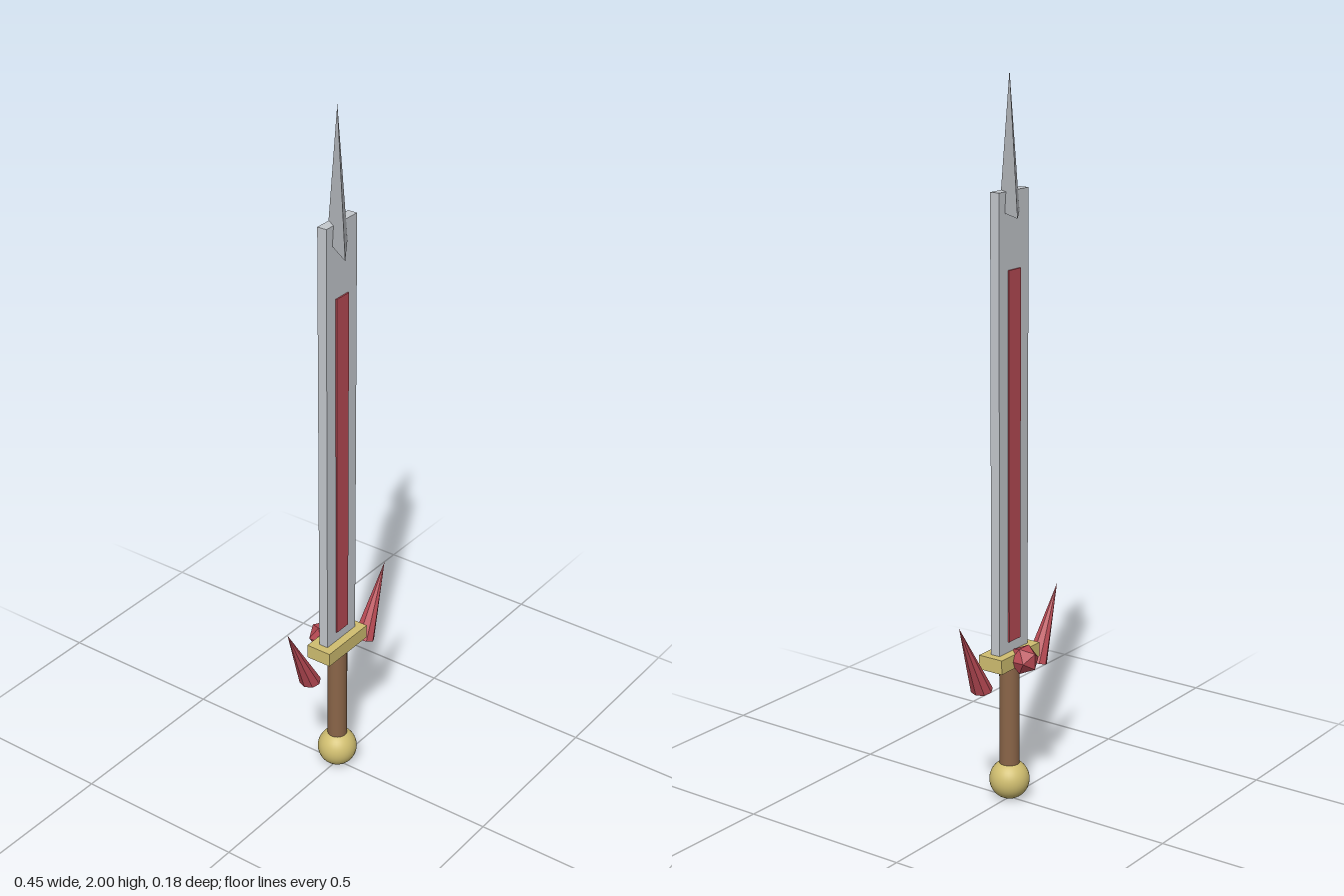
import * as THREE from 'three';

const material = (name, color, flatShading = false) => {
  const m = new THREE.MeshStandardMaterial({ color, flatShading });
  m.name = name;
  return m;
};

export function createModel() {
  const sword = new THREE.Group();
  sword.name = 'sword';

  const steel = material('steel', 0xc4c8cd, true);
  const red = material('red', 0xb84a54, true);
  const gold = material('gold', 0xd0be70);
  const leather = material('leather', 0x8a6548);

  const add = (name, geometry, mat, x, y, z) => {
    const mesh = new THREE.Mesh(geometry, mat);
    mesh.name = name;
    mesh.position.set(x, y, z);
    sword.add(mesh);
    return mesh;
  };

  // Handle
  add('pommel', new THREE.SphereGeometry(0.056, 32, 24), gold, 0, 0.058, 0);
  add('grip', new THREE.CylinderGeometry(0.028, 0.028, 0.31, 20), leather, 0, 0.25, 0);
  add('guard', new THREE.BoxGeometry(0.176, 0.04, 0.076), gold, 0, 0.42, 0);

  // Blade with a painted stripe on each face
  add('blade', new THREE.BoxGeometry(0.13, 1.255, 0.028), steel, 0, 1.0675, 0);
  for (const side of [1, -1]) {
    add(side > 0 ? 'frontStripe' : 'backStripe',
      new THREE.BoxGeometry(0.052, 1.02, 0.006), red, 0, 0.98, side * 0.015);
  }

  // Flattened four-sided point, turned diagonally across the blade
  const tip = add('bladeTip', new THREE.ConeGeometry(1, 0.36, 4), steel, 0, 1.82, 0);
  tip.scale.set(0.128, 1, 0.026);
  tip.rotation.y = Math.PI / 4;

  // Gem on the back of the guard
  add('gem', new THREE.IcosahedronGeometry(0.042, 0), red, 0, 0.42, -0.049);

  // Slanted spikes beside the guard: unit cone mapped onto a tilted base and axis
  const spike = new THREE.ConeGeometry(1, 1, 8).translate(0, 0.5, 0);
  spike.applyMatrix4(new THREE.Matrix4().makeBasis(
    new THREE.Vector3(0.0265, -0.008, 0),
    new THREE.Vector3(0.099, 0.204, 0),
    new THREE.Vector3(0, 0, 0.032)));
  for (const side of [1, -1]) {
    const mesh = add(side > 0 ? 'leftSpike' : 'rightSpike', spike, red, side * 0.127, 0.361, 0);
    mesh.rotation.y = side > 0 ? 0 : Math.PI;
  }

  return sword;
}
